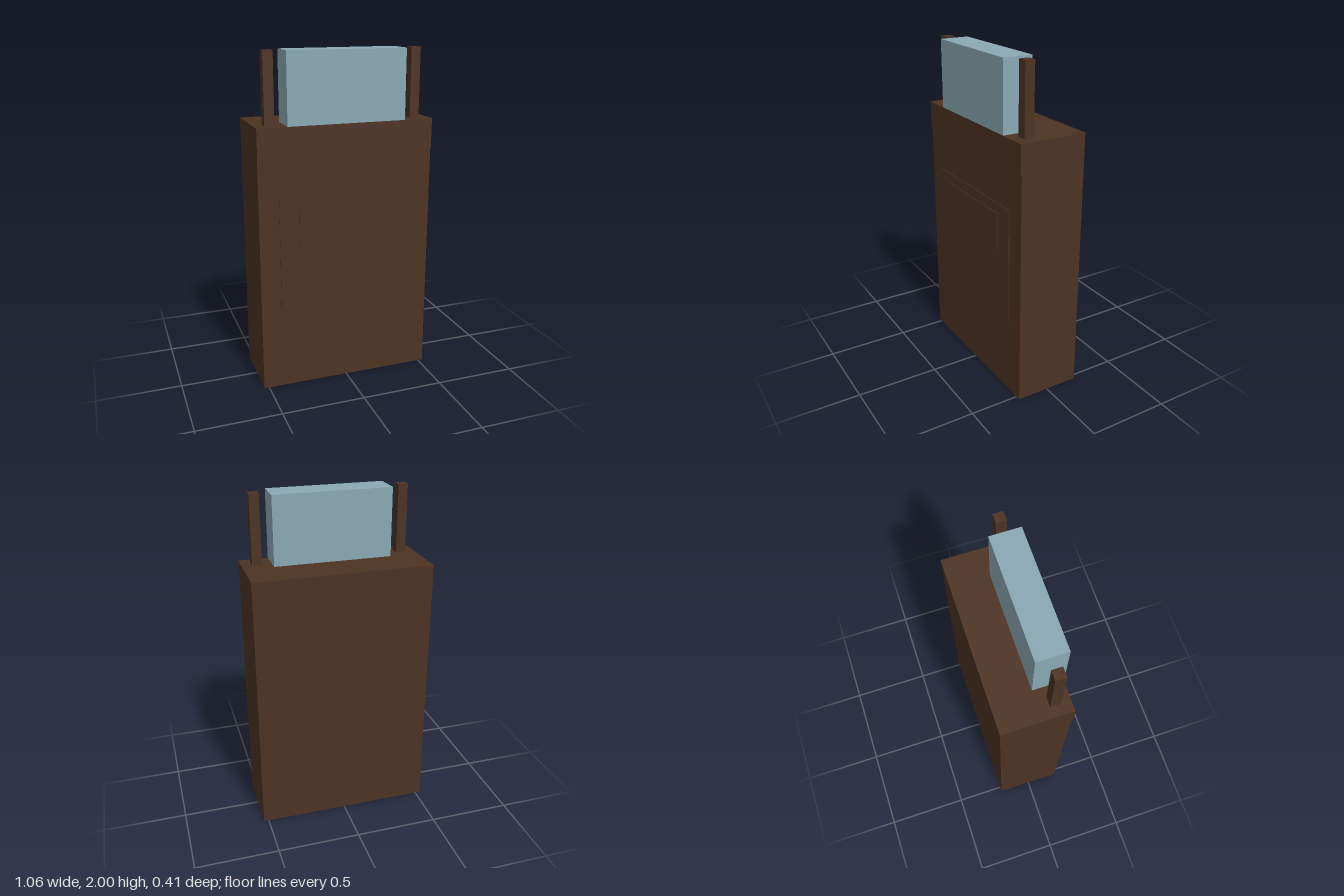
import * as THREE from 'three';

export function createModel() {
  const model = new THREE.Group();
  const wood = new THREE.MeshStandardMaterial({ color: 0x4d3323, side: THREE.DoubleSide });
  wood.name = 'dark brown';
  const glass = new THREE.MeshStandardMaterial({ color: 0x8aa9b4 });
  glass.name = 'pale blue';

  // Box given by its limits on each axis
  function addBox(name, material, [x0, x1], [y0, y1], [z0, z1]) {
    const geometry = new THREE.BoxGeometry(x1 - x0, y1 - y0, z1 - z0);
    geometry.translate((x0 + x1) / 2, (y0 + y1) / 2, (z0 + z1) / 2);
    const mesh = new THREE.Mesh(geometry, material);
    mesh.name = name;
    model.add(mesh);
    return mesh;
  }

  const top = 1.59, back = -0.205, face = 0.198, front = 0.205;

  // Hollow body: drop the bottom face (third-to-last pair of triangles)
  const body = addBox('body', wood, [-0.53, 0.53], [0, top], [back, face]);
  const index = Array.from(body.geometry.index.array);
  index.splice(18, 6);
  body.geometry.setIndex(index);
  body.geometry.clearGroups();

  // Raised band and stepped panels on the front
  addBox('headerBand', wood, [-0.53, 0.53], [1.42, top], [face, front]);
  addBox('outerPanel', wood, [-0.41, 0.41], [0.475, 1.18], [face, 0.202]);
  addBox('innerPanel', wood, [-0.295, 0.295], [0.89, 1.12], [0.202, front + 0.001]);

  // Upright block between two square posts
  addBox('upperBlock', glass, [-0.354, 0.354], [top, 2], [0.028, front]);
  for (const [name, x] of [['leftPost', 0.441], ['rightPost', -0.441]]) {
    addBox(name, wood, [x - 0.029, x + 0.029], [top, 2], [0.087, 0.146]);
  }

  return model;
}
